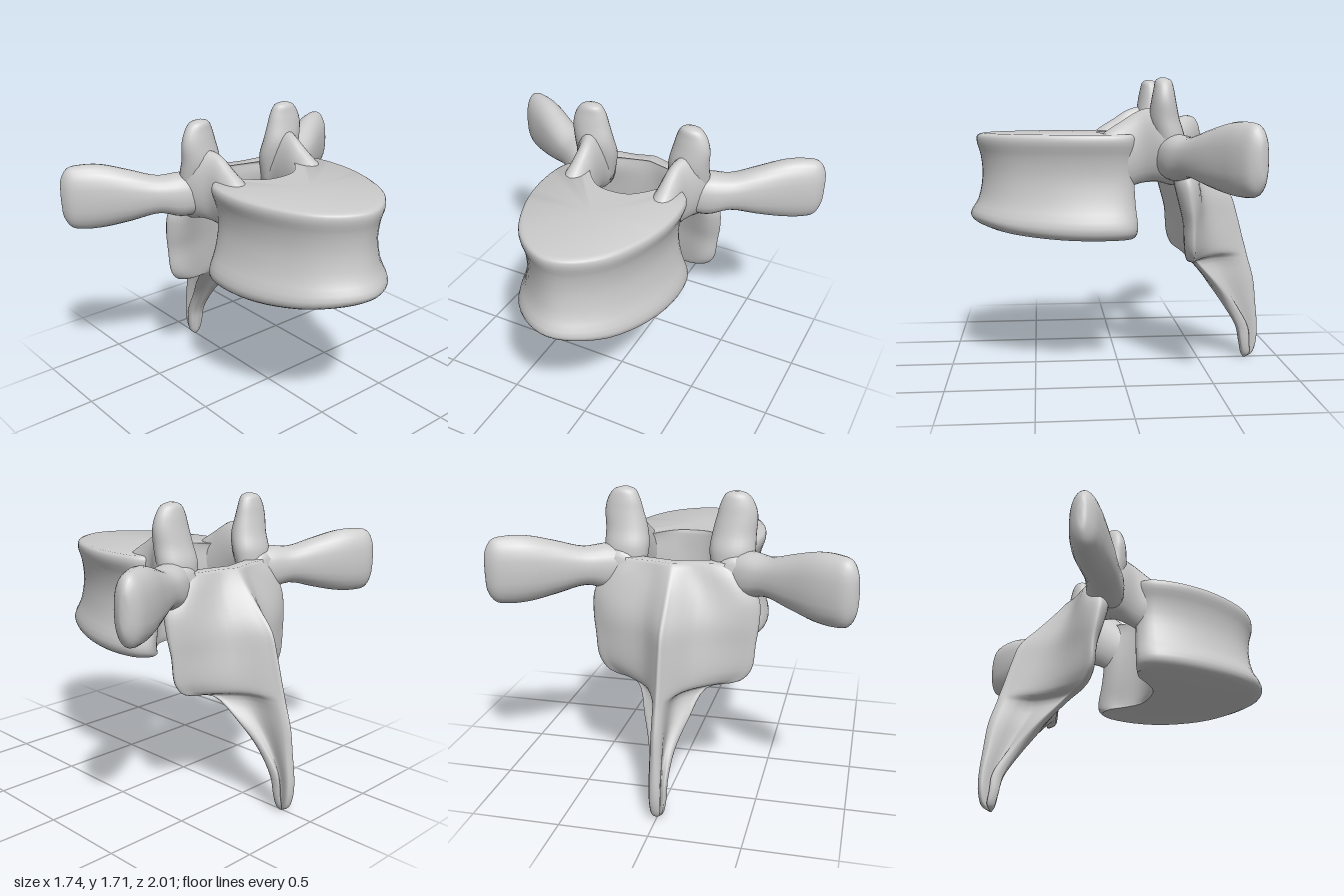
import * as THREE from 'three';
import { toCreasedNormals } from 'three/addons/utils/BufferGeometryUtils.js';

const V = (x, y, z) => new THREE.Vector3(x, y, z);
const material = new THREE.MeshStandardMaterial({ color: 0xcccccc });

// Closed skin through rings of equal length, smoothed lengthwise, with centre-fan caps
function loft(rings, steps = 4) {
  const n = rings[0].length, rows = (rings.length - 1) * steps + 1;
  const lines = rings[0].map((_, j) => new THREE.CatmullRomCurve3(rings.map(r => r[j])));
  const pts = [], idx = [];
  for (let i = 0; i < rows; i++) for (const l of lines) pts.push(l.getPoint(i / (rows - 1)));
  for (let i = 0; i < rows - 1; i++) for (let j = 0; j < n; j++) {
    const a = i * n + j, b = i * n + (j + 1) % n;
    idx.push(a, b, a + n, b, b + n, a + n);
  }
  for (const [row, flip] of [[0, true], [rows - 1, false]]) {
    const ring = pts.slice(row * n, row * n + n);
    const xs = ring.map(p => p.x);
    const c = ring.reduce((s, p) => s.add(p), V(0, 0, 0)).divideScalar(n);
    c.x = (Math.min(...xs) + Math.max(...xs)) / 2;
    const k = pts.push(c) - 1;
    for (let j = 0; j < n; j++) {
      const a = row * n + j, b = row * n + (j + 1) % n;
      idx.push(...(flip ? [b, a, k] : [a, b, k]));
    }
  }
  // turn the skin outward whatever way the rings run
  let volume = 0;
  for (let i = 0; i < idx.length; i += 3)
    volume += pts[idx[i]].dot(pts[idx[i + 1]].clone().cross(pts[idx[i + 2]]));
  if (volume < 0) idx.reverse();
  const g = new THREE.BufferGeometry().setFromPoints(pts);
  g.setIndex(idx);
  g.computeVertexNormals();
  return g;
}

// Oval ring spanned by two half axes
function oval(c, u, v, n = 24) {
  return Array.from({ length: n }, (_, i) => {
    const a = i / n * Math.PI * 2;
    return c.clone().addScaledVector(u, Math.cos(a)).addScaledVector(v, Math.sin(a));
  });
}

// Half outline [x, z] mirrored over z = 0 and splined into a closed ring
function symmetricRing(half, y, n) {
  const back = half.slice(1, -1).reverse().map(([x, z]) => [x, -z]);
  const curve = new THREE.CatmullRomCurve3([...half, ...back].map(([x, z]) => V(x, y, z)), true);
  return Array.from({ length: n }, (_, i) => curve.getPoint(i / n));
}

function vertebralBody() {
  const outline = [[0.12, 0], [0.1, 0.11], [0.02, 0.2], [-0.05, 0.26], [-0.08, 0.33], [-0.03, 0.4],
    [0.1, 0.43], [0.3, 0.42], [0.5, 0.365], [0.68, 0.27], [0.8, 0.13], [0.84, 0]];
  // y, x scale, z scale, tilt of the lower rim
  const levels = [[0.81, 0.93, 0.95, 1], [0.835, 1.01, 1.02, 1], [0.88, 1.035, 1.04, 0.8],
    [1.0, 0.98, 0.94, 0.3], [1.15, 0.95, 0.88, 0], [1.27, 0.96, 0.91, 0],
    [1.35, 0.985, 0.97, 0], [1.385, 0.98, 0.96, 0], [1.398, 0.94, 0.92, 0]];
  const rings = levels.map(([y, sx, sz, tilt]) => {
    const ring = symmetricRing(outline, y, 66);
    for (const p of ring) {
      p.x = p.x > 0.3 ? 0.3 + (p.x - 0.3) * (1 + (sx - 1) * 1.6) : 0.3 + (p.x - 0.3) * (1 + (sx - 1) * 0.5);
      p.z *= sz;
      p.y += tilt * 0.055 * Math.max(0, (p.x - 0.1) / 0.75) ** 2;
    }
    return ring;
  });
  return toCreasedNormals(loft(rings, 3), 0.7);
}

function laminaAndSpine() {
  // y, rear ridge x, front x, wing x, wing half width, wing half thickness
  const levels = [[0.002, -0.8, -0.785, -0.792, 0.008, 0.004], [0.03, -0.842, -0.77, -0.8, 0.034, 0.02],
    [0.1, -0.865, -0.757, -0.79, 0.048, 0.025], [0.2, -0.87, -0.735, -0.775, 0.052, 0.03],
    [0.35, -0.857, -0.645, -0.69, 0.07, 0.03], [0.5, -0.84, -0.54, -0.58, 0.125, 0.03],
    [0.64, -0.8, -0.45, -0.45, 0.2, 0.025], [0.68, -0.79, -0.43, -0.4, 0.38, 0.03],
    [0.75, -0.77, -0.42, -0.39, 0.44, 0.04], [0.9, -0.73, -0.4, -0.385, 0.46, 0.045],
    [1.02, -0.69, -0.385, -0.37, 0.475, 0.06], [1.14, -0.59, -0.375, -0.35, 0.47, 0.07],
    [1.26, -0.49, -0.37, -0.33, 0.4, 0.07], [1.34, -0.43, -0.375, -0.33, 0.34, 0.04]];
  const rings = levels.map(([y, xb, xf, xw, w, t]) => symmetricRing([
    [xb, 0], [xb + (xf - xb) * 0.12, Math.min(w * 0.6, 0.03)], [xb + (xf - xb) * 0.6, w * 0.33],
    [xw - t, w * 0.82], [xw, w], [xw + t, w * 0.85], [xf + (xw + t - xf) * 0.45, w * 0.45], [xf, 0],
  ], y, 56));
  return loft(rings, 4);
}

function pedicle(s) {
  // x, lower y, upper y, inner z, outer z
  return loft([[0.16, 1.12, 1.36, 0.2, 0.36], [0.08, 1.08, 1.42, 0.19, 0.37], [0, 1.08, 1.47, 0.2, 0.36],
    [-0.1, 1.12, 1.53, 0.21, 0.36], [-0.2, 1.13, 1.54, 0.21, 0.41], [-0.3, 1.11, 1.43, 0.2, 0.44],
    [-0.38, 1.16, 1.34, 0.24, 0.4]].map(([x, y0, y1, z0, z1]) =>
    oval(V(x, (y0 + y1) / 2, s * (z0 + z1) / 2), V(0, (y1 - y0) / 2, 0), V(0, 0, (z1 - z0) / 2))));
}

function superiorProcess(s) {
  // y, centre x, centre z, half thickness, half width
  return loft([[1.2, -0.28, 0.31, 0.06, 0.1], [1.38, -0.26, 0.3, 0.09, 0.125], [1.48, -0.235, 0.305, 0.085, 0.12],
    [1.58, -0.23, 0.32, 0.068, 0.11], [1.65, -0.23, 0.32, 0.055, 0.09], [1.695, -0.228, 0.315, 0.042, 0.06],
    [1.71, -0.225, 0.312, 0.015, 0.02]].map(([y, x, z, a, b]) =>
    oval(V(x, y, s * z), V(a, 0, -s * a * 0.25), V(b * 0.15, 0, s * b))));
}

function transverseProcess(s) {
  // x, z, centre y, half thickness, half height
  return loft([[-0.24, 0.26, 1.27, 0.09, 0.1], [-0.3, 0.4, 1.27, 0.11, 0.13], [-0.36, 0.52, 1.28, 0.1, 0.11],
    [-0.44, 0.66, 1.285, 0.1, 0.15], [-0.52, 0.79, 1.29, 0.098, 0.185], [-0.575, 0.89, 1.29, 0.088, 0.19],
    [-0.61, 0.955, 1.29, 0.068, 0.175], [-0.63, 0.99, 1.29, 0.03, 0.11],
    [-0.632, 0.997, 1.29, 0.008, 0.03]].map(([x, z, y, a, h]) => {
    const ring = oval(V(x, y, s * z), V(a * 0.88, 0, s * a * 0.47), V(0, h, 0));
    // squarer section than a plain oval
    for (const p of ring) {
      const k = (p.y - y) / h;
      p.y = y + h * Math.sign(k) * Math.abs(k) ** 0.8;
    }
    return ring;
  }));
}

export function createModel() {
  const group = new THREE.Group();
  group.name = 'vertebra';
  const add = (name, geometry) => {
    const mesh = new THREE.Mesh(geometry, material);
    mesh.name = name;
    group.add(mesh);
  };
  add('vertebralBody', vertebralBody());
  add('laminaAndSpine', laminaAndSpine());
  for (const [side, s] of [['front', 1], ['back', -1]]) {
    add(side + 'Pedicle', pedicle(s));
    add(side + 'SuperiorProcess', superiorProcess(s));
    add(side + 'TransverseProcess', transverseProcess(s));
  }
  return group;
}
